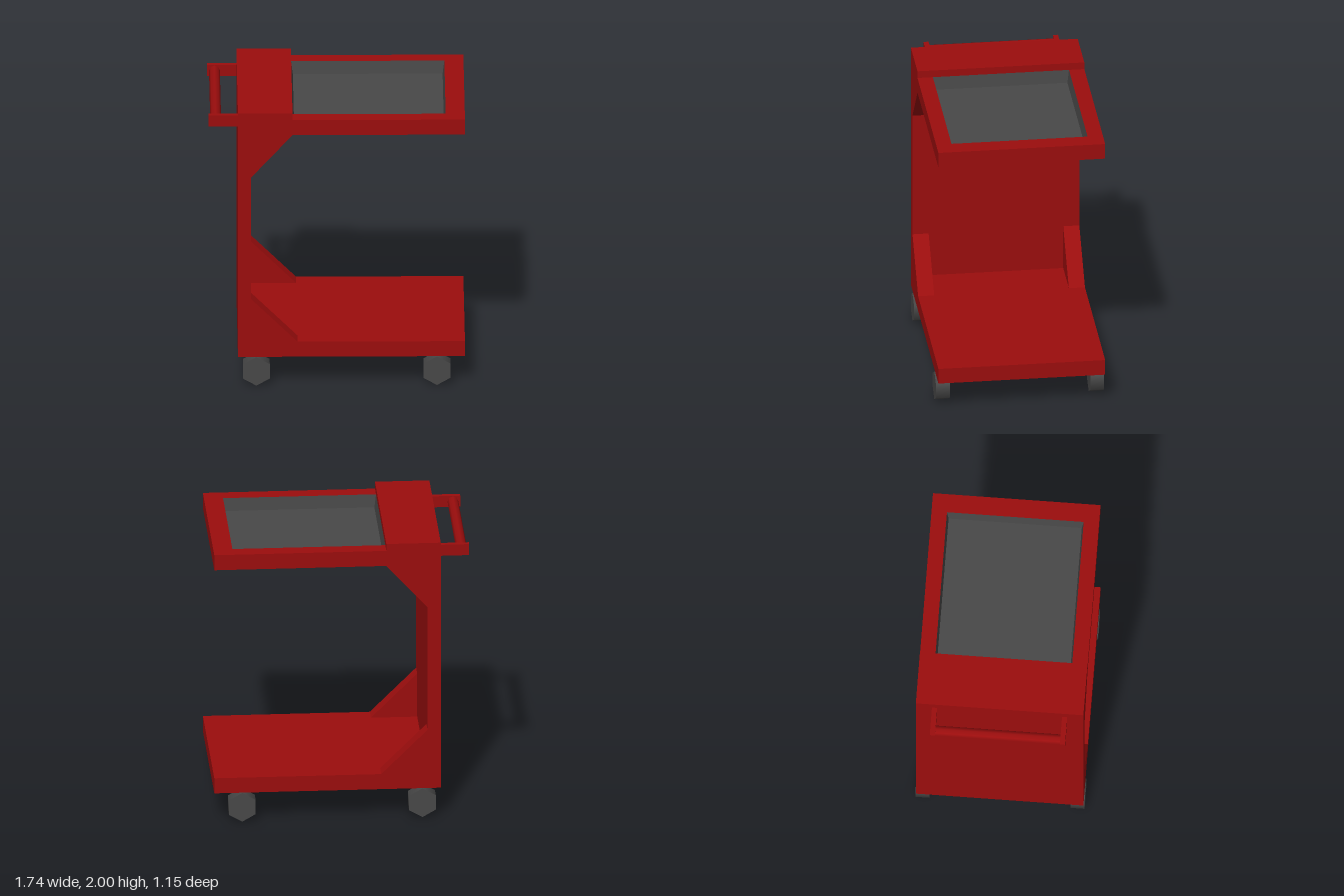
import * as THREE from 'three';

const red = new THREE.MeshStandardMaterial({ color: 0x9b0d0d });
const dark = new THREE.MeshStandardMaterial({ color: 0x484848 });
const HALF = 0.57; // half depth of the cart

function add(parent, name, geometry, material, x = 0, y = 0, z = 0) {
  const mesh = new THREE.Mesh(geometry, material);
  mesh.name = name;
  mesh.position.set(x, y, z);
  parent.add(mesh);
  return mesh;
}

function extrude(points, depth) {
  const shape = new THREE.Shape(points.map(([x, y]) => new THREE.Vector2(x, y)));
  return new THREE.ExtrudeGeometry(shape, { depth, bevelEnabled: false });
}

export function createModel() {
  const cart = new THREE.Group();
  cart.name = 'cart';

  // C-shaped body: base shelf, upright panel, raised head and tray underside
  add(cart, 'body', extrude([
    [-0.67, 0.21], [0.87, 0.21], [0.87, 0.32], [-0.58, 0.32], [-0.58, 1.84],
    [0.87, 1.84], [0.87, 1.855], [-0.3, 1.855], [-0.3, 2], [-0.67, 2],
  ], HALF * 2), red, 0, 0, -HALF);

  // Tray rim, open towards the raised head
  const rim = extrude([
    [-0.3, -HALF], [0.87, -HALF], [0.87, HALF], [-0.3, HALF],
    [-0.3, 0.465], [0.74, 0.465], [0.74, -0.465], [-0.3, -0.465],
  ], 0.095);
  rim.rotateX(-Math.PI / 2);
  add(cart, 'trayRim', rim, red, 0, 1.855, 0);

  // Tray liner: open-topped box, slightly narrower at the floor, seen from inside
  const liner = new THREE.BoxGeometry(1.04, 0.09, 0.93);
  const pos = liner.attributes.position;
  for (let i = 0; i < pos.count; i++) {
    if (pos.getY(i) < 0) {
      pos.setX(i, pos.getX(i) - Math.sign(pos.getX(i)) * 0.012);
      pos.setZ(i, pos.getZ(i) - Math.sign(pos.getZ(i)) * 0.012);
    }
  }
  const index = Array.from(liner.index.array);
  index.splice(12, 6); // drop the top face
  liner.setIndex(index.reverse());
  liner.clearGroups();
  liner.computeVertexNormals();
  add(cart, 'trayLiner', liner, dark, 0.22, 1.905, 0);

  // Corner gussets, flush with both sides
  const lower = [[-0.58, 0.32], [-0.265, 0.32], [-0.58, 0.635]];
  const upper = [[-0.58, 1.84], [-0.58, 1.53], [-0.3, 1.84]];
  for (const z of [-HALF, HALF - 0.11]) {
    add(cart, 'lowerGusset', extrude(lower, 0.11), red, 0, 0, z);
    add(cart, 'upperGusset', extrude(upper, 0.11), red, 0, 0, z);
  }

  // Push handle
  const handle = new THREE.Group();
  handle.name = 'handle';
  cart.add(handle);
  for (const side of [-1, 1]) {
    add(handle, 'handleBracket', new THREE.BoxGeometry(0.2, 0.08, 0.035), red, -0.77, 1.9, side * 0.4425);
  }
  const bar = new THREE.CylinderGeometry(0.037, 0.037, 0.86, 8);
  bar.rotateX(Math.PI / 2);
  add(handle, 'handleBar', bar, red, -0.82, 1.9, 0);

  // Six-sided wheels
  const wheel = new THREE.CylinderGeometry(0.105, 0.105, 0.095, 6);
  wheel.rotateX(Math.PI / 2);
  for (const x of [-0.545, 0.68]) {
    for (const side of [-1, 1]) add(cart, 'wheel', wheel, dark, x, 0.105, side * 0.5275);
  }

  return cart;
}
